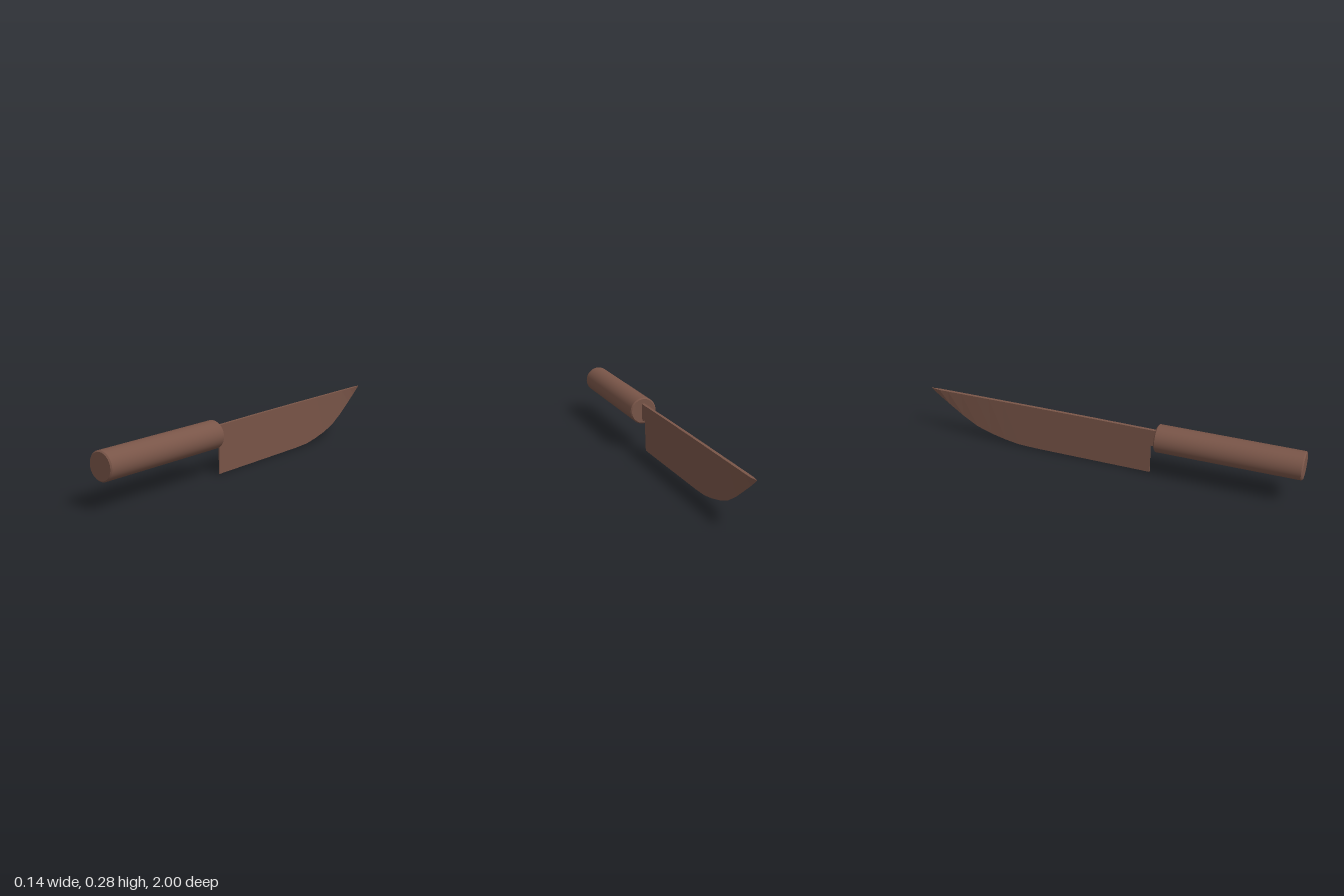
import * as THREE from 'three';

const material = new THREE.MeshStandardMaterial({ color: 0x795548 });
const flatMaterial = new THREE.MeshStandardMaterial({ color: 0x795548, flatShading: true });

// Loft of four-cornered sections [z, top y, bottom y, half width at top, half width at bottom], from front to back
function loft(sections, x) {
  const rings = sections.map(([z, top, bottom, a, b]) => [
    [x - a, top, z], [x + a, top, z], [x + b, bottom, z], [x - b, bottom, z],
  ]);
  const positions = [];
  const quad = (a, b, c, d) => positions.push(...a, ...b, ...c, ...a, ...c, ...d);
  for (let i = 0; i + 1 < rings.length; i++) {
    const r = rings[i], s = rings[i + 1];
    for (let k = 0; k < 4; k++) {
      const n = (k + 1) % 4;
      quad(r[k], r[n], s[n], s[k]);
    }
  }
  const first = rings[0], last = rings[rings.length - 1];
  quad(first[3], first[2], first[1], first[0]);
  quad(last[0], last[1], last[2], last[3]);
  const geometry = new THREE.BufferGeometry();
  geometry.setAttribute('position', new THREE.Float32BufferAttribute(positions, 3));
  geometry.computeVertexNormals();
  return geometry;
}

export function createModel() {
  const model = new THREE.Group();
  const add = (name, geometry, mat) => {
    const mesh = new THREE.Mesh(geometry, mat);
    mesh.name = name;
    model.add(mesh);
    return mesh;
  };

  // Round handle with small chamfers; doubled points keep the end caps crisp
  const R = 0.071, C = 0.006, L = 0.735;
  const profile = [
    [0, 0], [R - C, 0], [R - C, 0], [R, C], [R, C],
    [R, L - C], [R, L - C], [R - C, L], [R - C, L], [0, L],
  ].map(([r, y]) => new THREE.Vector2(r, y));
  const handle = add('handle', new THREE.LatheGeometry(profile, 40), material);
  handle.rotation.x = Math.PI / 2;
  handle.position.set(0, 0.21, 0.265);

  // Wedge blade: straight spine, edge curving up to the tip
  const spine = 0.008, edge = 0.0004, x = 0.002;
  const blade = [
    [0.23, 0.25, 0], [-0.1, 0.253, 0.002], [-0.4, 0.254, 0.004], [-0.5, 0.254, 0.008],
    [-0.58, 0.254, 0.022], [-0.66, 0.254, 0.042], [-0.74, 0.254, 0.07],
    [-0.82, 0.254, 0.118], [-0.9, 0.254, 0.176], [-0.95, 0.254, 0.213],
  ].map(([z, top, bottom]) => [z, top, bottom, spine, edge]);
  blade.push([-1, 0.255, 0.253, 0.0008, edge]);
  add('blade', loft(blade, x), flatMaterial);

  // Tang joining blade and handle
  add('tang', loft([[0.32, 0.25, 0.16, spine, 0.0055], [0.23, 0.25, 0.16, spine, 0.0055]], x), flatMaterial);

  return model;
}
